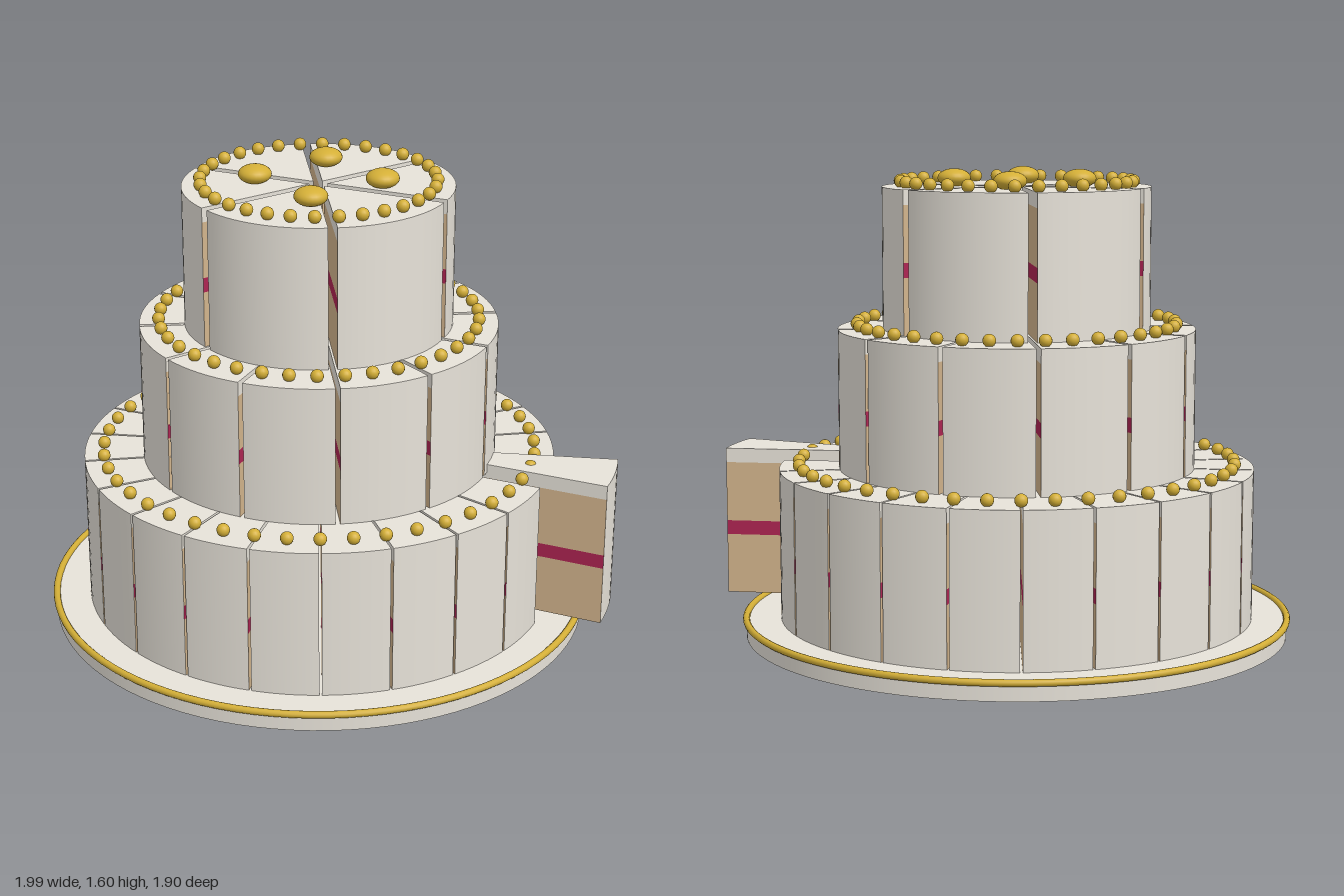
import * as THREE from 'three';
import { mergeGeometries } from 'three/addons/utils/BufferGeometryUtils.js';

const mat = (name, color) => Object.assign(new THREE.MeshStandardMaterial({ color }), { name });

export function createModel() {
  const icing = mat('ivory icing', 0xf3eee4);
  const sponge = mat('tan sponge', 0xd2b48c);
  const jam = mat('raspberry filling', 0xad2452);
  const gold = mat('gold', 0xd4af37);

  const model = new THREE.Group();
  model.name = 'tieredCake';
  const cake = new THREE.Group();
  cake.name = 'cake';
  cake.position.x = -0.045;
  model.add(cake);

  const add = (parent, name, geometry, material, x = 0, y = 0, z = 0) => {
    const mesh = new THREE.Mesh(geometry, material);
    mesh.name = name;
    mesh.position.set(x, y, z);
    parent.add(mesh);
    return mesh;
  };

  // Board with a gold rim
  add(cake, 'board', new THREE.CylinderGeometry(0.94, 0.94, 0.06, 96), icing, 0, 0.03, 0);
  add(cake, 'boardRim', new THREE.TorusGeometry(0.94, 0.012, 12, 96).rotateX(Math.PI / 2), gold, 0, 0.06, 0);

  // Both cut faces of a wedge between two heights
  const cutFaces = (radius, angle, y0, y1) => {
    const y = (y0 + y1) / 2;
    const face = () => new THREE.PlaneGeometry(radius, y1 - y0);
    return mergeGeometries([
      face().translate(radius / 2, y, 0).rotateY(-angle / 2),
      face().rotateY(Math.PI).translate(radius / 2, y, 0).rotateY(angle / 2),
    ]);
  };

  const CAP = 0.05, FILLING = 0.05, SPREAD = 0.03;
  const tiers = [
    { name: 'bottomTier', y: 0.06, h: 0.52, r: 0.79, wedges: 22, beads: 44, beadRing: 0.753 },
    { name: 'middleTier', y: 0.58, h: 0.48, r: 0.585, wedges: 12, beads: 38, beadRing: 0.548 },
    { name: 'topTier', y: 1.06, h: 0.485, r: 0.43, wedges: 6, beads: 32, beadRing: 0.398 },
  ];
  const bead = new THREE.SphereGeometry(0.022, 16, 12);

  for (const [t, tier] of tiers.entries()) {
    const { y, h, r } = tier;
    const group = new THREE.Group();
    group.name = tier.name;
    group.position.y = y;
    cake.add(group);

    // Geometry shared by every wedge of the tier
    const angle = (2 * Math.PI) / tier.wedges;
    const mid = (h - CAP) / 2;
    const outer = new THREE.CylinderGeometry(r, r, h, Math.ceil(72 / tier.wedges) + 2, 1, false,
      Math.PI / 2 - angle / 2, angle).translate(0, h / 2, 0);
    const spongeFaces = mergeGeometries([
      cutFaces(r, angle, 0, mid - FILLING / 2),
      cutFaces(r, angle, mid + FILLING / 2, h - CAP),
    ]);
    const jamFaces = cutFaces(r, angle, mid - FILLING / 2, mid + FILLING / 2);
    const capFaces = cutFaces(r, angle, h - CAP, h);

    // Wedges spread slightly apart, with one slice pulled out of the bottom tier
    for (let i = 0; i < tier.wedges; i++) {
      const pulled = t === 0 && i === 0;
      const phi = (i + 0.5) * angle;
      const shift = pulled ? 0.255 : SPREAD;
      const wedge = new THREE.Group();
      wedge.name = pulled ? 'pulledSlice' : 'wedge';
      wedge.rotation.y = phi;
      wedge.position.set(Math.cos(phi) * shift, pulled ? 0.03 : 0, -Math.sin(phi) * shift);
      add(wedge, 'icingCoat', outer, [icing, icing, sponge]);
      add(wedge, 'spongeLayers', spongeFaces, sponge);
      add(wedge, 'fillingLayer', jamFaces, jam);
      add(wedge, 'icingLayer', capFaces, icing);
      group.add(wedge);
    }

    // Ring of gold beads on the tier's top edge
    for (let i = 0; i < tier.beads; i++) {
      const a = (i / tier.beads) * 2 * Math.PI;
      add(group, 'bead', bead, gold, Math.cos(a) * tier.beadRing, h + 0.018, Math.sin(a) * tier.beadRing);
    }
  }

  // Four flattened gold ornaments on top
  const ornament = new THREE.SphereGeometry(0.057, 24, 16).scale(1, 0.56, 1);
  for (let i = 0; i < 4; i++) {
    const a = 1.264 + (i * Math.PI) / 2;
    add(cake, 'topOrnament', ornament, gold, Math.cos(a) * 0.215, 1.572, Math.sin(a) * 0.215);
  }
  return model;
}
